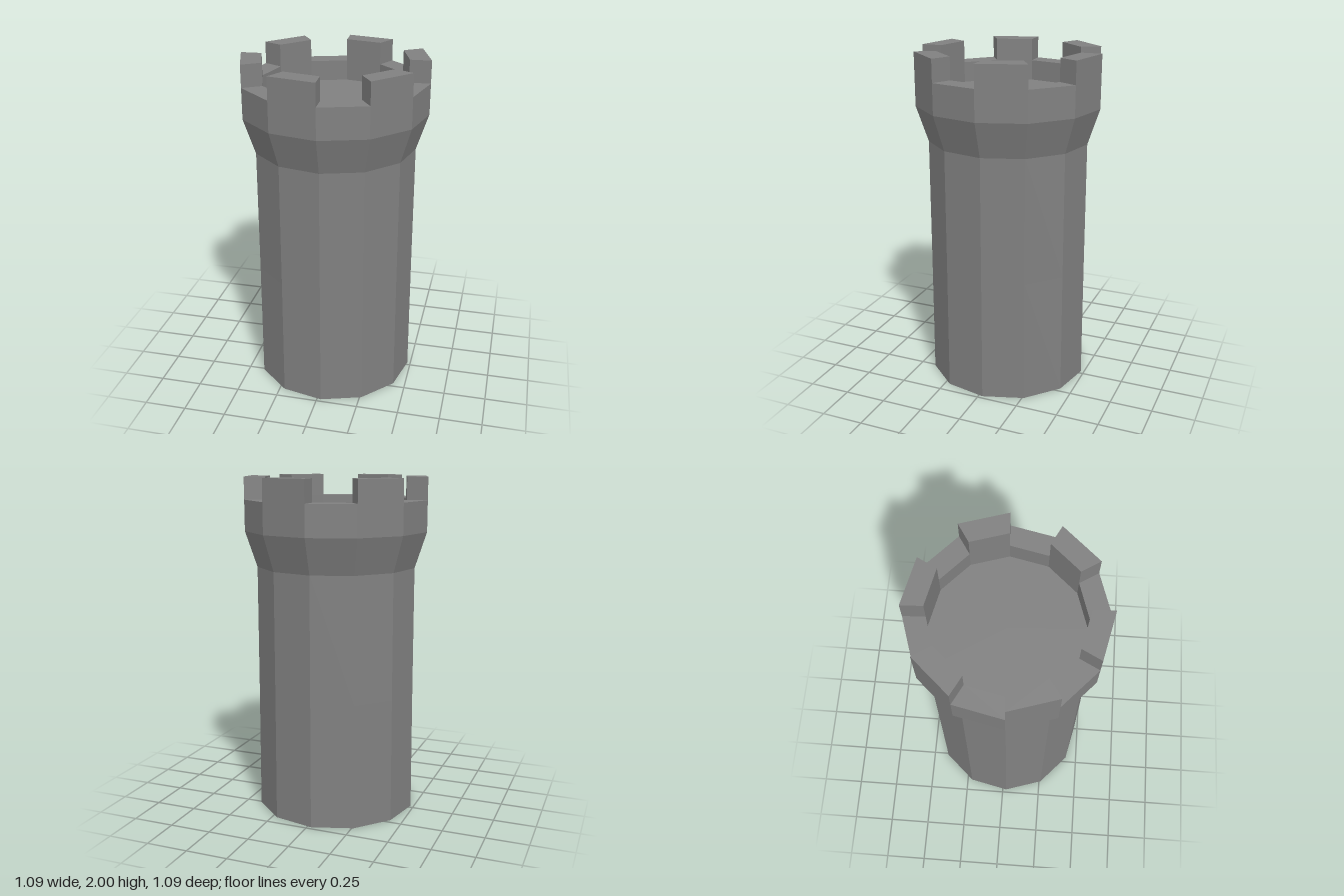
import * as THREE from 'three';

const SIDES = 12;
const STEP = (Math.PI * 2) / SIDES;
const START = THREE.MathUtils.degToRad(2.8); // slight twist of the twelve-sided plan
const OUTER = 0.544, INNER = 0.422;
const RIM_Y = 1.87, TOP_Y = 2, FLOOR_Y = 1.75;

export function createModel() {
  const group = new THREE.Group();
  const stone = new THREE.MeshStandardMaterial({ color: 0x808080, flatShading: true });

  // Tower: base, shaft, flared head, parapet rim and sunken floor in one profile
  const profile = [
    [0, 0], [0.481, 0], [0.477, 0.74], [0.475, 1.48], [OUTER, 1.69],
    [OUTER, RIM_Y], [INNER, RIM_Y], [INNER, FLOOR_Y], [0, FLOOR_Y],
  ].map(([r, y]) => new THREE.Vector2(r, y));
  const tower = new THREE.Mesh(new THREE.LatheGeometry(profile, SIDES, START), stone);
  tower.name = 'tower';
  group.add(tower);

  // Merlon: one facet of the parapet raised to the top
  const plan = (r, a) => new THREE.Vector2(r * Math.sin(a), -r * Math.cos(a));
  const a0 = START - STEP, a1 = START;
  const shape = new THREE.Shape([plan(OUTER, a0), plan(OUTER, a1), plan(INNER, a1), plan(INNER, a0)]);
  const merlonGeometry = new THREE.ExtrudeGeometry(shape, { depth: TOP_Y - RIM_Y, bevelEnabled: false });
  merlonGeometry.rotateX(-Math.PI / 2).translate(0, RIM_Y, 0);

  // Merlons stand on every second facet
  const battlements = new THREE.Group();
  battlements.name = 'battlements';
  for (let i = 0; i < SIDES / 2; i++) {
    const merlon = new THREE.Mesh(merlonGeometry, stone);
    merlon.name = `merlon${i + 1}`;
    merlon.rotation.y = i * STEP * 2;
    battlements.add(merlon);
  }
  group.add(battlements);

  return group;
}
